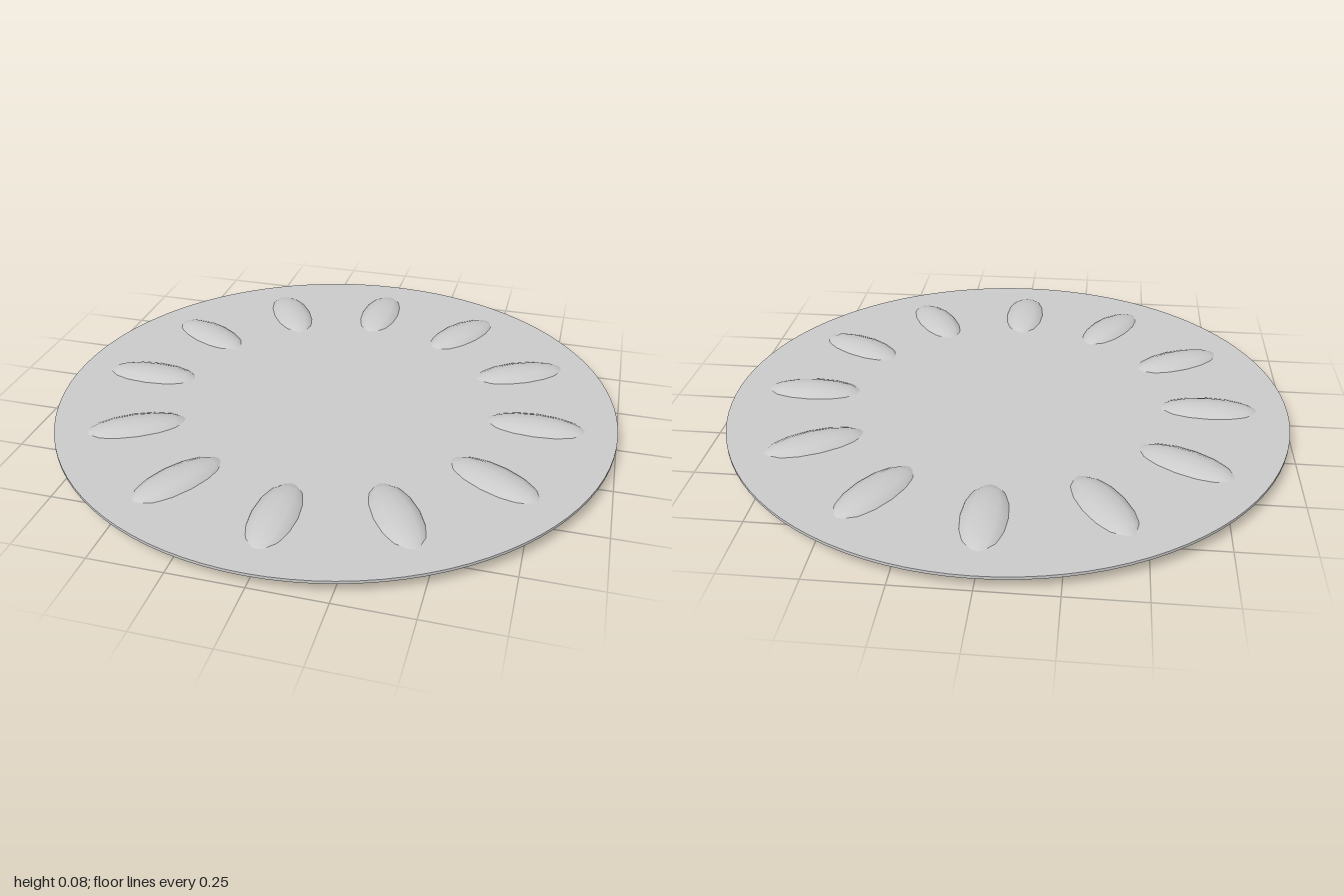
import * as THREE from 'three';

export function createModel() {
  const group = new THREE.Group();
  const material = new THREE.MeshStandardMaterial({ color: 0xcccccc });

  const lathe = (name, points) => {
    const geometry = new THREE.LatheGeometry(points.map(([r, y]) => new THREE.Vector2(r, y)), 96);
    const mesh = new THREE.Mesh(geometry, material);
    mesh.name = name;
    group.add(mesh);
  };

  // Flat top face, thin rim, and an underside with a shallow central recess
  lathe('topFace', [[1, 0.054], [0, 0.054]]);
  lathe('rim', [[1, 0.044], [1, 0.054]]);
  lathe('underside', [
    [0, 0.05], [0.05, 0.049], [0.085, 0.045], [0.11, 0.034], [0.15, 0.031],
    [0.22, 0.032], [0.4, 0.036], [0.7, 0.041], [1, 0.044],
  ]);

  // Ring of elongated ellipsoids pointing away from the centre
  const petalRing = (name, radius, y, width, height, length, offset) => {
    const geometry = new THREE.SphereGeometry(1, 12, 8);
    geometry.rotateX(Math.PI / 2);
    geometry.scale(width, height, length);
    const ring = new THREE.Group();
    ring.name = name + 'Ring';
    for (let i = 0; i < 12; i++) {
      const angle = (i + offset) * Math.PI / 6;
      const petal = new THREE.Mesh(geometry, material);
      petal.name = name;
      petal.position.set(Math.sin(angle) * radius, y, Math.cos(angle) * radius);
      petal.rotation.y = angle;
      ring.add(petal);
    }
    group.add(ring);
  };
  petalRing('outerPetal', 0.72, 0.039, 0.083, 0.039, 0.185, 0);
  petalRing('innerPetal', 0.42, 0.031, 0.055, 0.021, 0.11, 0.5);

  return group;
}
